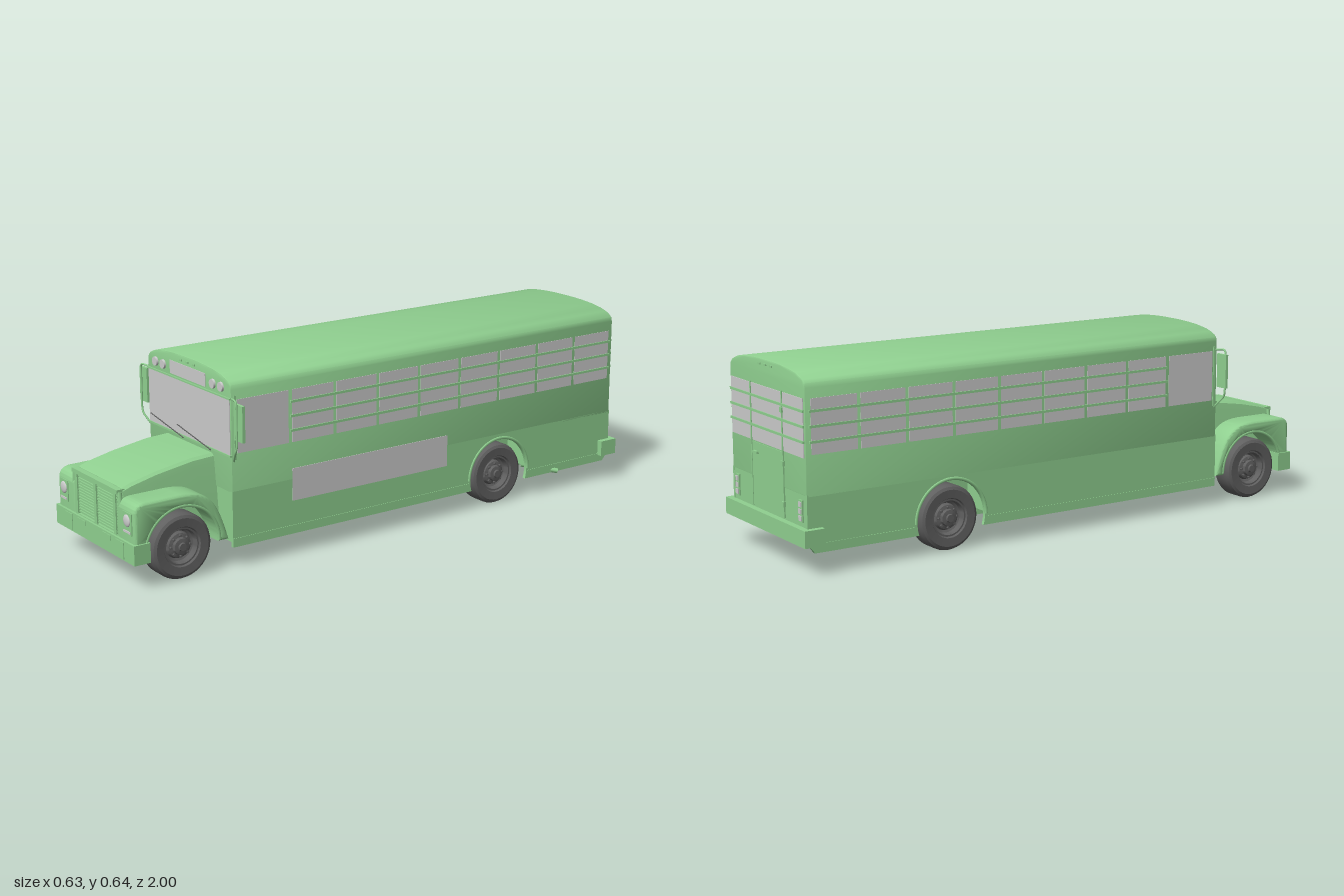
import * as THREE from 'three';
import { toCreasedNormals } from 'three/addons/utils/BufferGeometryUtils.js';

const green = new THREE.MeshStandardMaterial({ color: 0x90d090 });
const grey = new THREE.MeshStandardMaterial({ color: 0xcccccc });
const rubber = new THREE.MeshStandardMaterial({ color: 0x606060 });
const V = (x, y, z) => new THREE.Vector3(x, y, z);

export function createModel() {
  const bus = new THREE.Group();
  bus.name = 'bus';

  const add = (name, geo, mat = green, parent = bus) => {
    const m = new THREE.Mesh(geo, mat);
    m.name = name;
    parent.add(m);
    return m;
  };
  // Box given by its limits on each axis
  const box = (name, x0, x1, y0, y1, z0, z1, mat, parent) => {
    const m = add(name, new THREE.BoxGeometry(x1 - x0, y1 - y0, z1 - z0), mat, parent);
    m.position.set((x0 + x1) / 2, (y0 + y1) / 2, (z0 + z1) / 2);
    return m;
  };
  // Straight bar between two points
  const bar = (name, a, b, r, mat) => {
    const m = add(name, new THREE.CylinderGeometry(r, r, a.distanceTo(b), 8), mat);
    m.position.copy(a).lerp(b, 0.5);
    m.quaternion.setFromUnitVectors(V(0, 1, 0), b.clone().sub(a).normalize());
    return m;
  };
  // Extrude a (z, y) outline across x
  const sideExtrude = (shape, x0, x1, bevel = 0) => {
    const g = new THREE.ExtrudeGeometry(shape, {
      depth: x1 - x0 - 2 * bevel, curveSegments: 24, bevelEnabled: bevel > 0,
      bevelSize: bevel, bevelOffset: -bevel, bevelThickness: bevel, bevelSegments: 4,
    });
    g.rotateY(-Math.PI / 2).translate(x1 - bevel, 0, 0);
    return toCreasedNormals(g, 0.6);
  };
  // Skin between rings of points (counter-clockwise seen from +z)
  const loft = (rings) => {
    const pos = [], n = rings[0].length;
    const tri = (...p) => p.forEach((v) => pos.push(...v));
    for (let i = 0; i + 1 < rings.length; i++) for (let j = 0; j < n; j++) {
      const k = (j + 1) % n, a = rings[i], b = rings[i + 1];
      tri(a[j], a[k], b[k]);
      tri(a[j], b[k], b[j]);
    }
    const first = rings[0], last = rings[rings.length - 1];
    for (let j = 1; j + 1 < n; j++) {
      tri(last[0], last[j], last[j + 1]);
      tri(first[0], first[j + 1], first[j]);
    }
    const g = new THREE.BufferGeometry();
    g.setAttribute('position', new THREE.Float32BufferAttribute(pos, 3));
    return toCreasedNormals(g, 0.6);
  };

  // Upper body with arched roof
  const half = [[0.255, 0.25], [0.255, 0.588], [0.251, 0.602], [0.24, 0.612], [0.222, 0.62],
    [0.195, 0.628], [0.15, 0.635], [0.1, 0.639], [0.05, 0.641]];
  const section = [...half, ...half.slice().reverse().map(([x, y]) => [-x, y])];
  const bodyGeo = new THREE.ExtrudeGeometry(
    new THREE.Shape(section.map(([x, y]) => new THREE.Vector2(x, y))),
    { depth: 1.61, bevelSize: 0.005, bevelOffset: -0.005, bevelThickness: 0.005, bevelSegments: 2 });
  bodyGeo.translate(0, 0, -0.975);
  add('upperBody', toCreasedNormals(bodyGeo, 0.6));

  // Lower side panels with rear wheel arches
  const skirt = new THREE.Shape();
  skirt.moveTo(0.64, 0.07).lineTo(0.64, 0.256).lineTo(-0.98, 0.256).lineTo(-0.98, 0.1)
    .lineTo(-0.955, 0.07).lineTo(-0.582, 0.07)
    .absarc(-0.46, 0.108, 0.128, Math.PI + 0.3, -0.3, true);
  // Front fender outline with its wheel arch
  const fender = new THREE.Shape();
  fender.moveTo(0.99, 0.14).lineTo(0.99, 0.245);
  fender.quadraticCurveTo(0.988, 0.277, 0.95, 0.279);
  fender.lineTo(0.83, 0.28);
  fender.bezierCurveTo(0.72, 0.278, 0.69, 0.24, 0.65, 0.1);
  fender.lineTo(0.69, 0.1);
  fender.absarc(0.82, 0.108, 0.13, Math.PI, 0.25, true);

  box('firewall', -0.25, 0.25, 0.085, 0.255, 0.615, 0.638);
  box('lowerRearPanel', -0.25, 0.25, 0.1, 0.255, -0.979, -0.96);
  box('centreFloor', -0.15, 0.15, 0.115, 0.13, -0.97, 0.63);
  box('crossChassisBeam', -0.15, 0.15, 0.1, 0.125, -0.9, -0.86);

  // Wheel: tyre and dished hub, turned about x, outer face towards +x
  const lathe = (pts) => toCreasedNormals(
    new THREE.LatheGeometry(pts.map(([r, h]) => new THREE.Vector2(r, h)), 40).rotateZ(-Math.PI / 2), 0.5);
  const tyreGeo = lathe([[0.06, -0.03], [0.066, -0.038], [0.094, -0.042], [0.103, -0.037], [0.108, -0.027],
    [0.108, 0.027], [0.103, 0.037], [0.094, 0.042], [0.066, 0.04], [0.06, 0.03]]);
  const hubGeo = lathe([[0, -0.03], [0.062, -0.03], [0.063, 0.034], [0.057, 0.034], [0.053, 0.014], [0.045, 0.01],
    [0.04, 0.022], [0.028, 0.025], [0.026, 0.036], [0.014, 0.038], [0.012, 0.044], [0, 0.044]]);

  for (const s of [-1, 1]) {
    const side = s > 0 ? 'left' : 'right';
    const lim = (a, b) => (s > 0 ? [a, b] : [-b, -a]);
    add(side + 'LowerPanel', sideExtrude(skirt, ...lim(0.243, 0.255)));
    add(side + 'Fender', sideExtrude(fender, ...lim(0.135, 0.249), 0.01));

    // Underside: floor edges, wheel well and frame rail
    box(side + 'FrontFloor', ...lim(0.15, 0.245), 0.115, 0.13, -0.33, 0.63);
    box(side + 'RearFloor', ...lim(0.15, 0.245), 0.115, 0.13, -0.97, -0.59);
    box(side + 'WheelWell', ...lim(0.145, 0.152), 0.115, 0.255, -0.59, -0.33);
    for (const z of [-0.59, -0.33]) box(side + 'WellWall', ...lim(0.15, 0.245), 0.115, 0.255, z - 0.003, z + 0.003);
    box(side + 'FrameRail', ...lim(0.083, 0.108), 0.065, 0.118, -0.92, 0.95);
    box(side + 'LowerTrim', ...lim(0.25, 0.257), 0.095, 0.1, -0.325, 0.64);
    box(side + 'RearLowerTrim', ...lim(0.25, 0.257), 0.095, 0.1, -0.94, -0.595);

    // Arch lips
    for (const [z, x, r] of [[-0.46, 0.253, 0.133], [0.82, 0.245, 0.135]]) {
      const lip = add(side + 'ArchLip', new THREE.TorusGeometry(r, 0.006, 8, 32, Math.PI));
      lip.rotation.y = Math.PI / 2;
      lip.position.set(s * x, 0.108, z);
    }

    // Wheels
    for (const [end, z] of [['Front', 0.82], ['Rear', -0.46]]) {
      const wheel = new THREE.Group();
      wheel.name = side + end + 'Wheel';
      add('tyre', tyreGeo, rubber, wheel);
      add('hub', hubGeo, rubber, wheel);
      for (let i = 0; i < 8; i++) {
        const a = i * Math.PI / 4;
        const nut = add('wheelNut', new THREE.CylinderGeometry(0.004, 0.004, 0.01, 6).rotateZ(Math.PI / 2), rubber, wheel);
        nut.position.set(0.026, 0.034 * Math.sin(a), 0.034 * Math.cos(a));
      }
      wheel.position.set(s * 0.205, 0.108, z);
      if (s < 0) wheel.rotation.y = Math.PI;
      bus.add(wheel);
    }

    // Side windows: cab pane, then eight barred bays
    box(side + 'CabWindow', ...lim(0.25, 0.2565), 0.38, 0.555, 0.425, 0.618, grey);
    for (let i = 0; i < 8; i++) {
      const z1 = 0.417 - i * 0.173;
      box(side + 'Window', ...lim(0.25, 0.2565), 0.38, 0.555, z1 - 0.167, z1 - 0.006, grey);
    }
    for (const y of [0.42, 0.468, 0.516]) box(side + 'WindowBar', ...lim(0.25, 0.26), y - 0.004, y + 0.004, -0.968, 0.418);
    box(side + 'CabPillar', ...lim(0.25, 0.258), 0.36, 0.57, 0.622, 0.63);

    // Mirror on a bent bracket
    const path = new THREE.CatmullRomCurve3([V(s * 0.25, 0.558, 0.635), V(s * 0.283, 0.562, 0.645), V(s * 0.294, 0.55, 0.645),
      V(s * 0.294, 0.48, 0.645), V(s * 0.294, 0.415, 0.645), V(s * 0.285, 0.392, 0.645), V(s * 0.25, 0.352, 0.63)], false, 'catmullrom', 0.3);
    add(side + 'MirrorBracket', new THREE.TubeGeometry(path, 40, 0.0035, 8));
    box(side + 'Mirror', ...lim(0.27, 0.317), 0.43, 0.548, 0.628, 0.638);

    // Headlight in a square surround
    box(side + 'HeadlightSurround', ...lim(0.18, 0.234), 0.175, 0.246, 0.97, 0.993);
    const lamp = add(side + 'Headlight', new THREE.SphereGeometry(0.02, 24, 12), grey);
    lamp.scale.z = 0.3;
    lamp.position.set(s * 0.206, 0.219, 0.993);
    box(side + 'Indicator', ...lim(0.187, 0.228), 0.18, 0.187, 0.98, 0.996, grey);

    // Roof warning lamps and rear lamp clusters
    for (const x of [0.153, 0.201]) {
      const l = add(side + 'WarningLamp', new THREE.CylinderGeometry(0.015, 0.016, 0.01, 24).rotateX(Math.PI / 2), grey);
      l.position.set(s * x, 0.588, 0.642);
    }
    box(side + 'RearLampPanel', ...lim(0.205, 0.23), 0.165, 0.236, -0.984, -0.975);
    for (const y of [0.178, 0.2, 0.222]) box(side + 'RearLamp', ...lim(0.209, 0.226), y - 0.008, y + 0.008, -0.987, -0.98, grey);

    // Bumper details and tow supports
    box(side + 'BumperPad', ...lim(0.144, 0.191), 0.09, 0.144, 0.99, 1.0);
    box(side + 'BumperStep', ...lim(0.057, 0.108), 0.128, 0.144, 0.99, 1.0);
    bar(side + 'FrontBrace', V(s * 0.155, 0.09, 0.94), V(s * 0.12, 0.064, 0.94), 0.005);
    box(side + 'RearBumperEnd', ...lim(0.255, 0.275), 0.095, 0.15, -1, -0.93);
  }

  // Bonnet
  add('bonnet', loft([[0.635, 0.357, 0.145], [0.72, 0.353, 0.146], [0.85, 0.333, 0.146], [0.94, 0.313, 0.147], [0.972, 0.302, 0.147]]
    .map(([z, y, w]) => {
      const r = [[0.17, 0.14], [w + 0.006, y - 0.03], [w + 0.002, y - 0.008], [w - 0.008, y]];
      return [...r, ...r.slice().reverse().map(([x, h]) => [-x, h])].map(([x, h]) => [x, h, z]);
    })));

  // Grille: slats narrowing upwards, uprights and frame
  const wide = (y) => 0.168 - (y - 0.15) * 0.16;
  for (let i = 0; i < 14; i++) {
    const y = 0.16 + i * 0.0093;
    box('grilleSlat', -wide(y), wide(y), y - 0.003, y + 0.003, 0.965, 0.987);
  }
  for (const x of [-0.125, 0, 0.125]) box('grilleUpright', x - 0.008, x + 0.008, 0.15, 0.29, 0.965, 0.991);
  for (const s of [-1, 1]) bar('grilleEdge', V(s * 0.165, 0.15, 0.982), V(s * 0.144, 0.292, 0.982), 0.008);
  box('grilleTop', -0.147, 0.147, 0.287, 0.301, 0.965, 0.993);
  box('grilleBase', -0.17, 0.17, 0.14, 0.153, 0.965, 0.99);

  // Bumpers and front crossmember
  box('frontBumper', -0.255, 0.255, 0.085, 0.15, 0.94, 0.998);
  box('rearBumper', -0.275, 0.275, 0.095, 0.15, -1, -0.975);
  box('frontCrossmember', -0.12, 0.12, 0.06, 0.069, 0.925, 0.945);

  // Windscreen, sign and trims
  box('windscreen', -0.249, 0.249, 0.375, 0.556, 0.63, 0.642, grey);
  box('windscreenTopTrim', -0.254, 0.254, 0.556, 0.561, 0.63, 0.645);
  box('windscreenSill', -0.254, 0.254, 0.369, 0.375, 0.63, 0.645);
  box('signPanel', -0.11, 0.107, 0.567, 0.611, 0.635, 0.642, grey);
  bar('wiper', V(-0.235, 0.404, 0.646), V(-0.028, 0.368, 0.646), 0.0018, rubber);
  bar('wiper', V(-0.066, 0.404, 0.646), V(0.14, 0.368, 0.646), 0.0018, rubber);
  for (const x of [-0.04, 0, 0.04]) for (const z of [0.64, -0.98])
    box('markerLamp', x - 0.006, x + 0.006, 0.621, 0.627, z - 0.004, z + 0.004);

  // Rear barred windows and emergency door
  for (const [a, b] of [[-0.245, -0.112], [-0.102, 0.102], [0.112, 0.245]])
    box('rearWindow', a, b, 0.37, 0.555, -0.9825, -0.975, grey);
  for (const y of [0.42, 0.468, 0.516]) box('rearWindowBar', -0.248, 0.248, y - 0.004, y + 0.004, -0.986, -0.975);
  for (const x of [-0.107, 0.107]) box('doorEdge', x - 0.003, x + 0.003, 0.155, 0.56, -0.984, -0.975);
  box('emergencyDoor', -0.104, 0.104, 0.158, 0.365, -0.982, -0.975);
  box('doorHandle', 0.06, 0.09, 0.33, 0.338, -0.99, -0.98);
  for (const y of [0.2, 0.33, 0.5]) box('doorHinge', -0.115, -0.1, y - 0.008, y + 0.008, -0.988, -0.98);

  // Side panel on the left
  box('leftSignPanel', 0.25, 0.257, 0.183, 0.292, -0.225, 0.412, grey);

  // Running gear and exhaust
  for (const z of [0.82, -0.46]) bar('axle', V(-0.19, 0.108, z), V(0.19, 0.108, z), 0.014);
  const diff = add('differential', new THREE.SphereGeometry(0.04, 20, 14));
  diff.position.set(0, 0.108, -0.46);
  bar('driveShaft', V(0, 0.1, -0.46), V(0, 0.1, 0.6), 0.01);
  box('engineSump', -0.042, 0.042, 0.072, 0.15, 0.66, 0.9);
  bar('exhaustPipe', V(0.19, 0.1, -0.62), V(0.262, 0.073, -0.73), 0.009);

  return bus;
}
